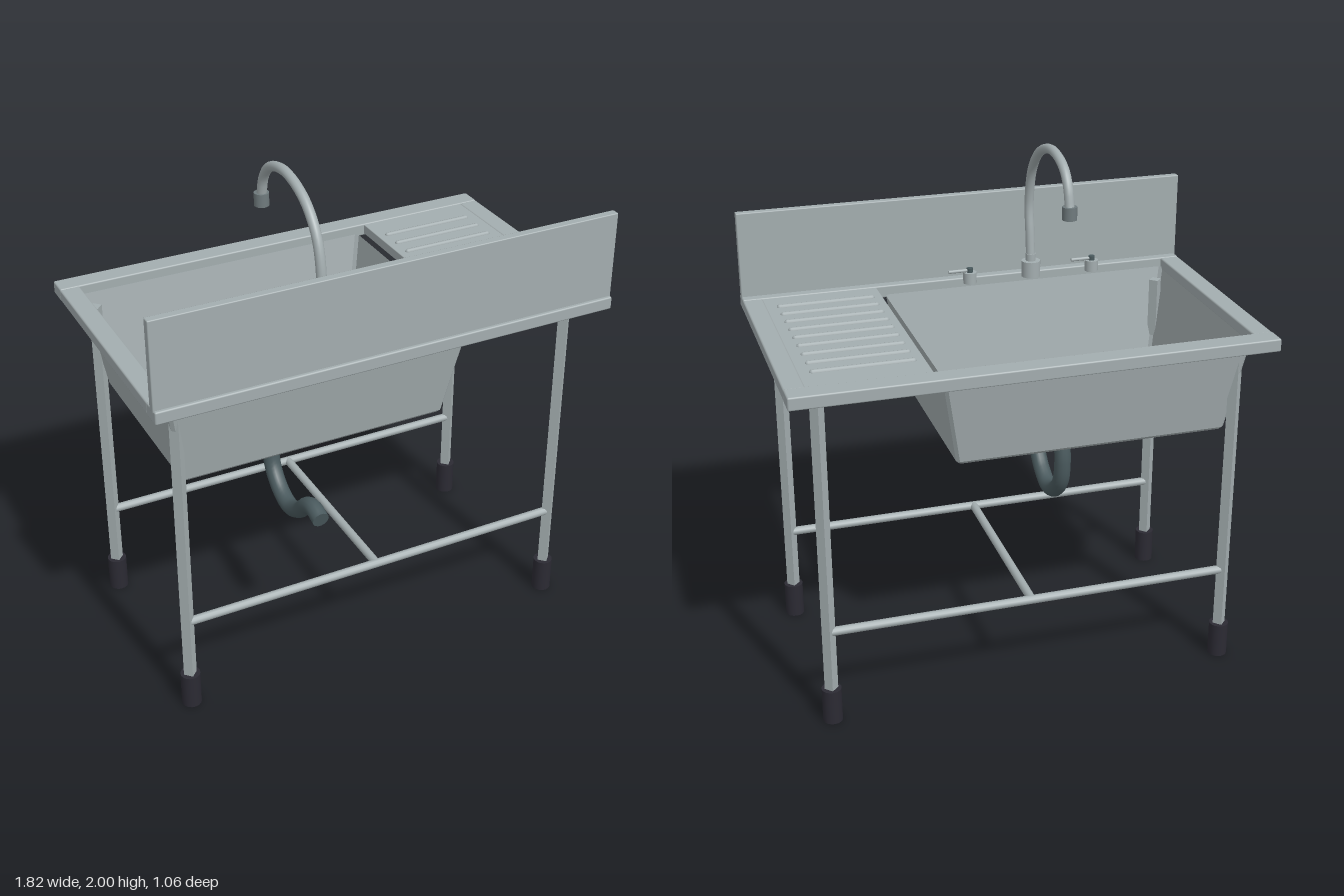
import * as THREE from 'three';
import { RoundedBoxGeometry } from 'three/addons/geometries/RoundedBoxGeometry.js';

const mat = (name, color, extra = {}) => {
  const m = new THREE.MeshStandardMaterial({ color, ...extra });
  m.name = name;
  return m;
};

export function createModel() {
  const model = new THREE.Group();
  model.name = 'utilitySink';

  const steel = mat('steel', 0xa3adaf);
  const steelSheet = mat('steelSheet', 0xa3adaf, { side: THREE.DoubleSide, flatShading: true });
  const legSteel = mat('legSteel', 0xa3adaf, { flatShading: true });
  const pipeGrey = mat('pipeGrey', 0x4a5a5e);
  const rubber = mat('rubber', 0x2b2a33);
  const darkSteel = mat('darkSteel', 0x6f7a7d);

  const add = (name, geo, material, x = 0, y = 0, z = 0, parent = model) => {
    const mesh = new THREE.Mesh(geo, material);
    mesh.name = name;
    mesh.position.set(x, y, z);
    parent.add(mesh);
    return mesh;
  };
  // Slightly bevelled box given by its limits
  const slab = (name, x0, x1, y0, y1, z0, z1, r = 0.006) =>
    add(name, new RoundedBoxGeometry(x1 - x0, y1 - y0, z1 - z0, 1, r), steel,
      (x0 + x1) / 2, (y0 + y1) / 2, (z0 + z1) / 2);
  const cyl = (r, h, n = 20) => new THREE.CylinderGeometry(r, r, h, n);
  // Tube in the plane of constant x through [z, y] points, with end caps
  const bentPipe = (name, x, pts, r, material) => {
    const path = new THREE.CatmullRomCurve3(pts.map(([z, y]) => new THREE.Vector3(x, y, z)));
    add(name, new THREE.TubeGeometry(path, 40, r, 14), material);
    [0, 1].forEach((t) => {
      const cap = add(name + 'Cap', new THREE.CircleGeometry(r, 14), material);
      const p = path.getPointAt(t);
      const d = path.getTangentAt(t).multiplyScalar(t ? 1 : -1);
      cap.position.copy(p);
      cap.lookAt(p.clone().add(d));
    });
  };

  // Worktop frame and backsplash
  slab('frameBackRail', -0.91, 0.91, 1.35, 1.4, 0.447, 0.53);
  slab('frameFrontRail', -0.91, 0.91, 1.35, 1.4, -0.53, -0.447);
  slab('frameRightRail', -0.91, -0.833, 1.352, 1.398, -0.452, 0.452);
  slab('frameLeftRail', 0.833, 0.91, 1.352, 1.398, -0.452, 0.452);
  slab('backsplash', -0.912, 0.91, 1.39, 1.737, 0.484, 0.517, 0.004);

  // Drainboard with raised ribs
  slab('drainboard', 0.38, 0.836, 1.357, 1.396, -0.45, 0.45, 0.003);
  for (let i = 0; i < 9; i++) {
    const rib = add('drainRib', new THREE.CapsuleGeometry(0.011, 0.363, 4, 10), steel,
      0.603, 1.395, -0.322 + i * 0.0834);
    rib.rotation.z = Math.PI / 2;
  }

  // Bowl: chamfered rectangles lofted down to a flat floor
  const loops = [ // y, x0, x1, half depth, corner chamfer
    [1.365, -0.836, 0.347, 0.442, 0.012],
    [1.0, -0.773, 0.284, 0.38, 0.012],
    [0.988, -0.762, 0.273, 0.369, 0.008],
  ];
  const pos = [];
  const index = [];
  loops.forEach(([y, x0, x1, d, c]) => {
    [[x0 + c, d], [x1 - c, d], [x1, d - c], [x1, c - d],
      [x1 - c, -d], [x0 + c, -d], [x0, c - d], [x0, d - c]].forEach(([x, z]) => pos.push(x, y, z));
  });
  for (let l = 0; l < loops.length - 1; l++) {
    for (let i = 0; i < 8; i++) {
      const a = l * 8 + i;
      const b = l * 8 + (i + 1) % 8;
      index.push(a, a + 8, b, b, a + 8, b + 8);
    }
  }
  const last = (loops.length - 1) * 8;
  for (let i = 1; i < 7; i++) index.push(last, last + i + 1, last + i);
  const bowl = new THREE.BufferGeometry();
  bowl.setAttribute('position', new THREE.Float32BufferAttribute(pos, 3));
  bowl.setIndex(index);
  bowl.computeVertexNormals();
  add('bowl', bowl, steelSheet);

  // Drain fitting and waste trap
  const tapX = -0.247;
  add('drainRing', cyl(0.05, 0.008, 24), steel, tapX, 0.992, 0);
  add('drainHole', cyl(0.032, 0.003, 24), darkSteel, tapX, 0.997, 0);
  bentPipe('wasteTrap', tapX, [[0.002, 0.987], [-0.015, 0.87], [-0.028, 0.76], [-0.01, 0.67],
    [0.06, 0.597], [0.145, 0.573], [0.23, 0.61], [0.3, 0.675], [0.35, 0.695], [0.415, 0.68]],
  0.033, pipeGrey);

  // Gooseneck tap
  add('tapBase', cyl(0.038, 0.065, 24), steel, tapX, 1.432, 0.397);
  add('tapCollar', cyl(0.02, 0.03), steel, tapX, 1.478, 0.4);
  bentPipe('tapSpout', tapX, [[0.4, 1.47], [0.413, 1.58], [0.426, 1.7], [0.39, 1.84], [0.3, 1.935],
    [0.15, 1.981], [0.02, 1.95], [-0.035, 1.89], [-0.058, 1.81]], 0.0185, steel);
  add('tapNozzle', cyl(0.028, 0.05), darkSteel, tapX, 1.797, -0.058);

  // Lever handles
  [-0.505, 0.01].forEach((x) => {
    const handle = new THREE.Group();
    handle.name = 'leverHandle';
    handle.position.set(x, 1.4, 0.392);
    model.add(handle);
    add('handleBase', cyl(0.027, 0.045), steel, 0, 0.02, 0, handle);
    add('handleCap', cyl(0.013, 0.02, 12), pipeGrey, 0, 0.05, 0, handle);
    const lever = add('lever', cyl(0.007, 0.085, 8), steel, 0.045, 0.05, 0, handle);
    lever.rotation.z = Math.PI / 2;
  });

  // Legs with rubber feet
  for (const x of [-0.793, 0.79]) {
    for (const z of [-0.402, 0.402]) {
      add('leg', cyl(0.026, 1.225, 4), legSteel, x, 0.7125, z);
      add('foot', cyl(0.038, 0.14, 16), rubber, x, 0.07, z);
    }
  }

  // H-shaped stretchers
  for (const z of [-0.402, 0.402]) {
    const rail = add('longStretcher', cyl(0.017, 1.57, 12), steel, 0, 0.385, z);
    rail.rotation.z = Math.PI / 2;
  }
  add('crossStretcher', cyl(0.017, 0.8, 12), steel, 0, 0.385, 0).rotation.x = Math.PI / 2;

  return model;
}
